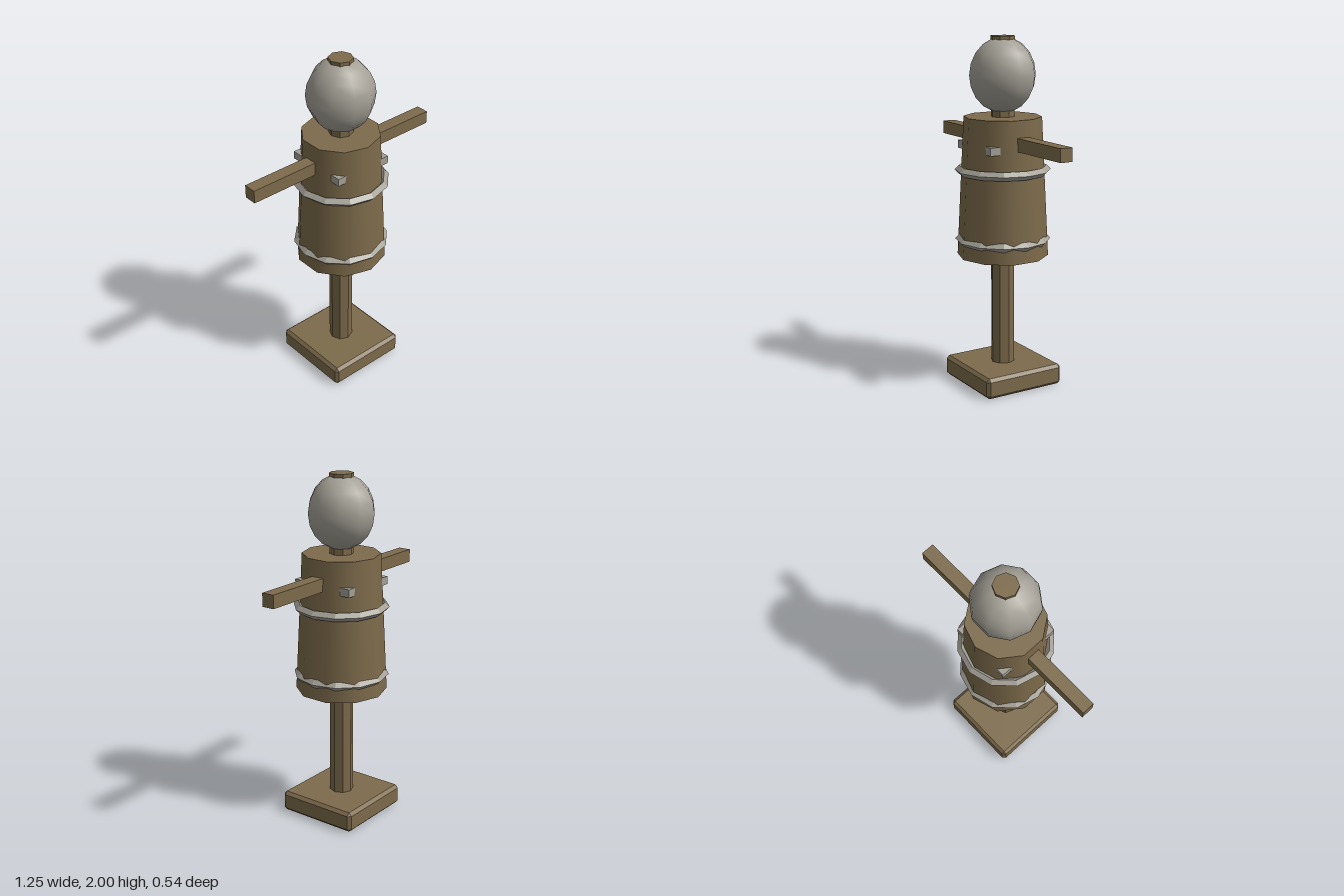
import * as THREE from 'three';
import { ConvexGeometry } from 'three/addons/geometries/ConvexGeometry.js';

const wood = new THREE.MeshStandardMaterial({ color: 0x7d6b4b });
wood.name = 'wood';
const grey = new THREE.MeshStandardMaterial({ color: 0xa4a096 });
grey.name = 'pale grey';

// Gives every facet its own flat normal
function faceted(geometry) {
  const flat = geometry.toNonIndexed();
  flat.computeVertexNormals();
  return flat;
}

// Box whose edges and corners are cut off by a chamfer
function chamferedBox(w, h, d, c) {
  const points = [];
  for (const x of [-1, 1]) for (const y of [-1, 1]) for (const z of [-1, 1]) {
    const [a, b, e] = [w / 2, h / 2, d / 2];
    points.push(
      new THREE.Vector3(x * a, y * (b - c), z * (e - c)),
      new THREE.Vector3(x * (a - c), y * b, z * (e - c)),
      new THREE.Vector3(x * (a - c), y * (b - c), z * e));
  }
  return new ConvexGeometry(points);
}

export function createModel() {
  const model = new THREE.Group();
  model.name = 'trainingDummy';
  const add = (name, geometry, material, x, y, z) => {
    const mesh = new THREE.Mesh(geometry, material);
    mesh.name = name;
    mesh.position.set(x, y, z);
    model.add(mesh);
    return mesh;
  };

  // Stand and the post that runs up through the head
  add('base', chamferedBox(0.496, 0.12, 0.496, 0.018), wood, 0, 0.06, 0);
  add('post', faceted(new THREE.CylinderGeometry(0.068, 0.068, 1.9, 8)), wood, 0, 1.05, 0);

  // Tapered ten-sided body and crossbar arms
  add('body', new THREE.CylinderGeometry(0.22, 0.26, 0.795, 10), wood, 0, 1.1575, 0);
  add('arms', new THREE.BoxGeometry(1.245, 0.075, 0.075), wood, 0, 1.4225, 0);

  // Egg-shaped head
  const head = add('head', new THREE.SphereGeometry(0.19, 10, 10), grey, 0, 1.785, 0);
  head.scale.y = 0.21 / 0.19;

  // Hoops with a diamond section
  for (const [name, y] of [['upperHoop', 1.255], ['lowerHoop', 0.855]]) {
    const hoop = faceted(new THREE.TorusGeometry(0.247, 0.025, 4, 12));
    add(name, hoop.rotateX(Math.PI / 2), grey, 0, y, 0);
  }

  // Four pegs let into the body below the arms
  for (const x of [-1, 1]) for (const z of [-1, 1]) {
    const name = (z > 0 ? 'front' : 'back') + (x > 0 ? 'Left' : 'Right') + 'Peg';
    add(name, new THREE.BoxGeometry(0.09, 0.045, 0.09), grey, x * 0.133, 1.391, z * 0.142);
  }
  return model;
}
